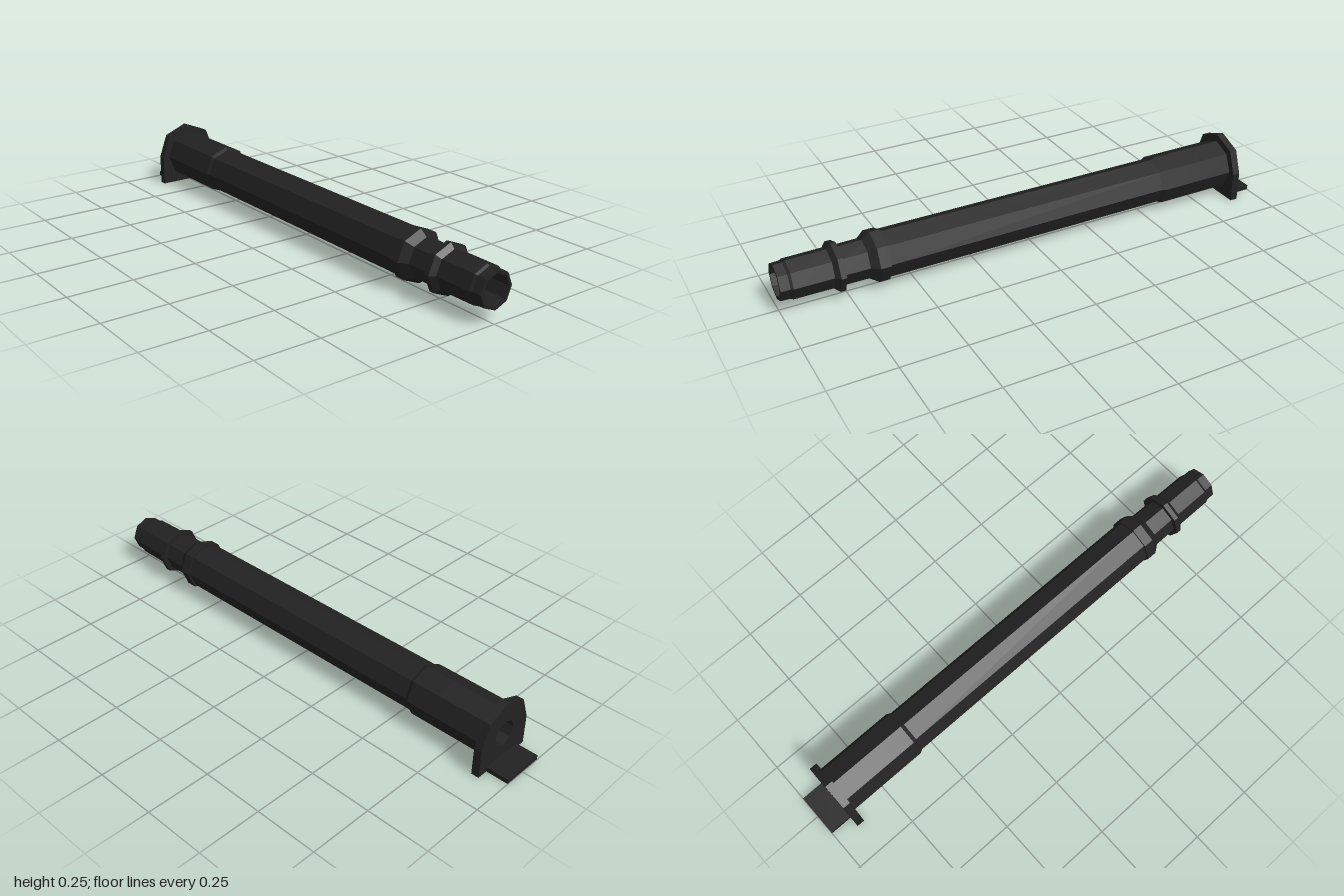
import * as THREE from 'three';

const AXIS_Y = 0.118;

// Eight-sided turned part along x, from [x, radius] pairs listed left to right.
function turned(profile, material, name) {
  const geometry = new THREE.LatheGeometry(profile.map(([x, r]) => new THREE.Vector2(r, x)), 8);
  geometry.rotateZ(-Math.PI / 2);
  const mesh = new THREE.Mesh(geometry, material);
  mesh.position.y = AXIS_Y;
  mesh.name = name;
  return mesh;
}

export function createModel() {
  const group = new THREE.Group();
  const black = new THREE.MeshStandardMaterial({ color: 0x222222, flatShading: true });
  black.name = 'black metal';

  // Main tube: rear bore, thick sleeve, long body and front collar
  const tube = turned([
    [-0.80, 0], [-0.80, 0.05], [-0.895, 0.05], [-0.895, 0.1],
    [-0.755, 0.1], [-0.73, 0.1], [-0.685, 0.1], [-0.66, 0.1],
    [-0.57, 0.1], [-0.555, 0.092], [0.605, 0.092], [0.605, 0.1],
    [0.645, 0.1], [0.675, 0.078], [0.675, 0],
  ], black, 'tube');
  // Notch in the lower edge of the sleeve
  const p = tube.geometry.attributes.position;
  for (let i = 0; i < p.count; i++) {
    if (p.getX(i) > -0.74 && p.getX(i) < -0.68 && p.getY(i) < -0.09) p.setY(i, -0.068);
  }
  group.add(tube);

  // Narrow end piece with ring and front bore
  group.add(turned([
    [0.66, 0], [0.66, 0.077], [0.77, 0.076], [0.77, 0.096], [0.79, 0.096],
    [0.807, 0.077], [0.955, 0.076], [0.965, 0.071], [1, 0.07],
    [1, 0.058], [0.9, 0.058], [0.9, 0],
  ], black, 'endPiece'));

  // Upright flange with an eight-sided opening
  const outline = new THREE.Shape([
    [-0.127, 0], [0.127, 0], [0.127, 0.118], [0.093, 0.21],
    [0, 0.248], [-0.093, 0.21], [-0.127, 0.118],
  ].map(([x, y]) => new THREE.Vector2(x, y)));
  const hole = [];
  for (let i = 0; i < 8; i++) {
    const a = -i * Math.PI / 4;
    hole.push(new THREE.Vector2(0.05 * Math.cos(a), AXIS_Y + 0.05 * Math.sin(a)));
  }
  outline.holes.push(new THREE.Path(hole));
  const flangeGeometry = new THREE.ExtrudeGeometry(outline, { depth: 0.03, bevelEnabled: false });
  flangeGeometry.rotateY(Math.PI / 2);
  const flange = new THREE.Mesh(flangeGeometry, black);
  flange.position.x = -0.912;
  flange.name = 'flange';
  group.add(flange);

  // Flat foot behind the flange
  const foot = new THREE.Mesh(new THREE.BoxGeometry(0.1, 0.018, 0.17), black);
  foot.position.set(-0.95, 0.011, 0);
  foot.name = 'foot';
  group.add(foot);

  return group;
}
